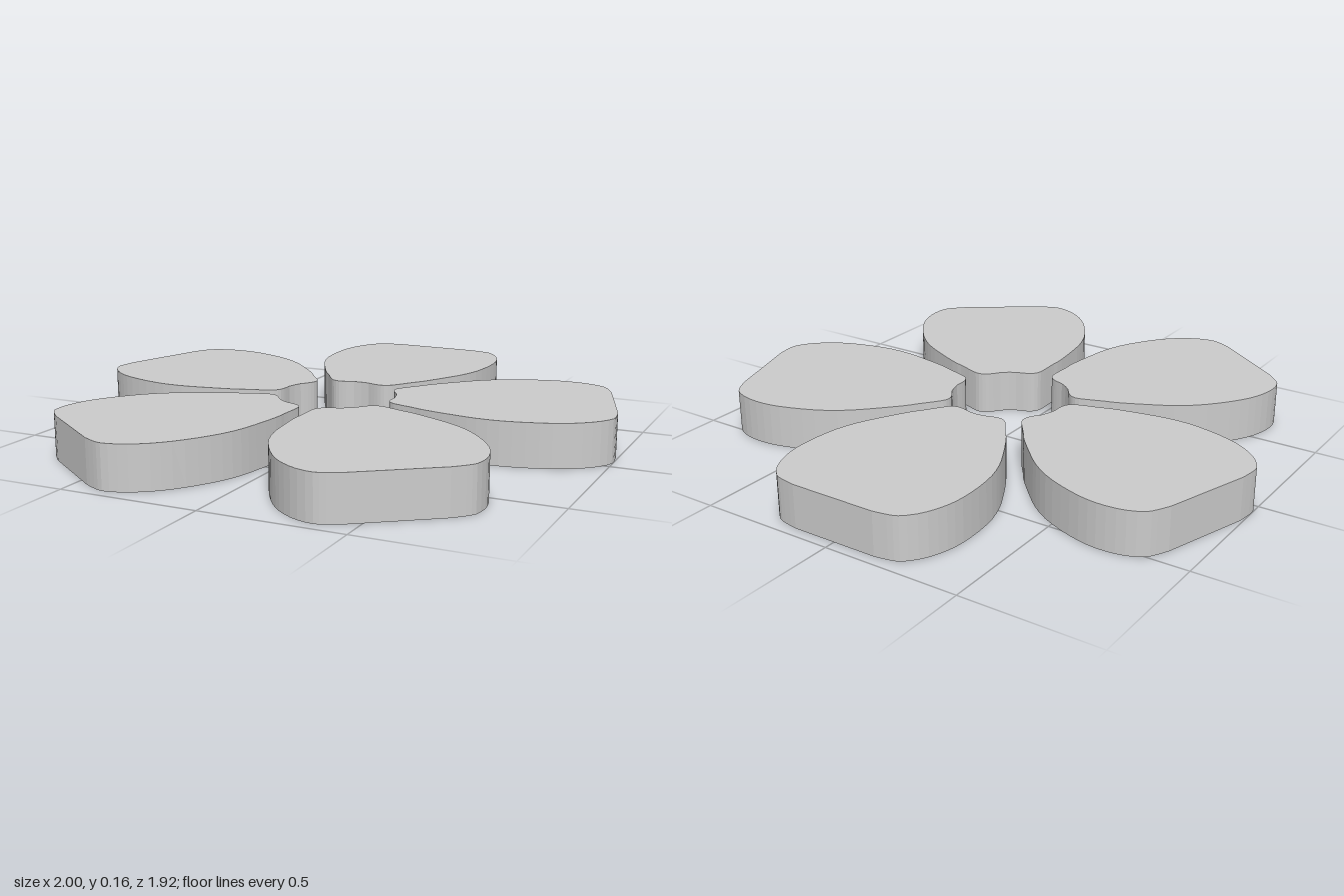
import * as THREE from 'three';

const HEIGHT = 0.157;
const CENTRE_Z = 0.03;

// Right half of a petal outline: [half width, distance from flower centre], inner end to outer edge
const HALF = [
  [0.03, 0.215], [0.06, 0.205], [0.09, 0.201], [0.117, 0.212], [0.142, 0.243],
  [0.175, 0.292], [0.208, 0.337], [0.265, 0.44], [0.3, 0.513], [0.325, 0.595],
  [0.336, 0.69], [0.335, 0.78], [0.321, 0.85], [0.292, 0.917], [0.25, 0.966],
  [0.212, 0.981], [0.16, 0.99],
];

function petalGeometry() {
  const right = HALF.map(([x, y]) => new THREE.Vector2(x, y));
  const left = HALF.map(([x, y]) => new THREE.Vector2(-x, y)).reverse();
  const shape = new THREE.Shape();
  shape.moveTo(right[0].x, right[0].y);
  shape.splineThru(right.slice(1));
  shape.lineTo(left[0].x, left[0].y); // straight outer edge
  shape.splineThru(left.slice(1));
  shape.quadraticCurveTo(0, 0.219, right[0].x, right[0].y); // shallow inner notch
  const geometry = new THREE.ExtrudeGeometry(shape, {
    depth: HEIGHT, bevelEnabled: false, curveSegments: 2,
  });
  return geometry.rotateX(-Math.PI / 2);
}

export function createModel() {
  const flower = new THREE.Group();
  flower.name = 'flower';
  const material = new THREE.MeshStandardMaterial({ color: 0xcccccc });
  const geometry = petalGeometry();

  // Five equal petals around an open centre
  for (let i = 0; i < 5; i++) {
    const petal = new THREE.Mesh(geometry, material);
    petal.name = `petal${i + 1}`;
    petal.rotation.y = (i * Math.PI * 2) / 5;
    petal.position.z = CENTRE_Z;
    flower.add(petal);
  }
  return flower;
}
